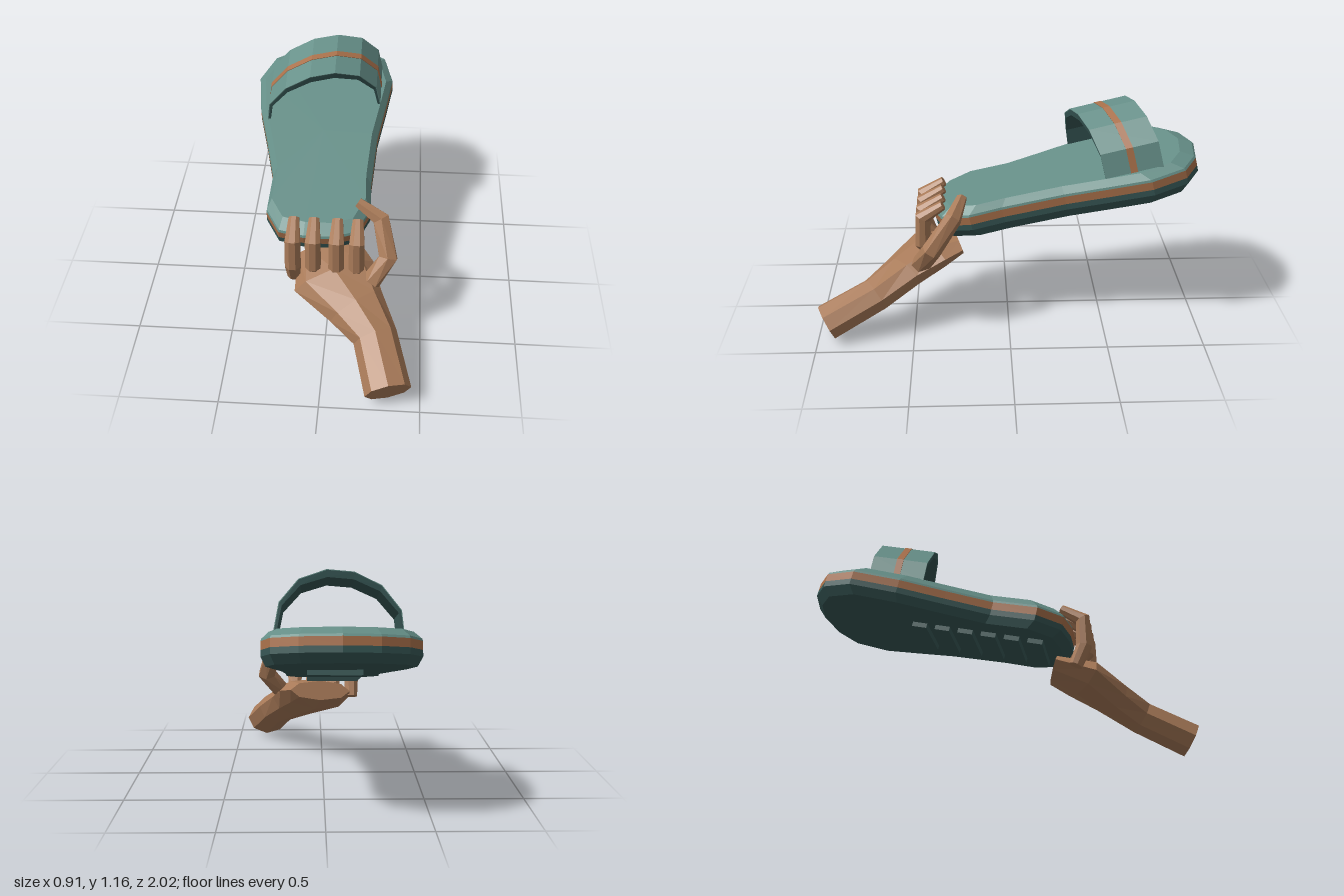
import * as THREE from 'three';

const mat = (name, color) => {
  const m = new THREE.MeshStandardMaterial({ color, flatShading: true });
  m.name = name;
  return m;
};

// Joins equal-length rings of points into a skin, with optional end caps
function skin(rings, capStart = true, capEnd = true) {
  const n = rings[0].length, last = rings.length - 1, pos = [], idx = [];
  rings.forEach(r => r.forEach(p => pos.push(p.x, p.y, p.z)));
  for (let i = 0; i < last; i++) for (let j = 0; j < n; j++) {
    const k = (j + 1) % n, a = i * n + j, b = i * n + k;
    idx.push(a, b, a + n, b, b + n, a + n);
  }
  const cap = (i, flip) => {
    const c = new THREE.Vector3();
    rings[i].forEach(p => c.addScaledVector(p, 1 / n));
    const ci = pos.length / 3;
    pos.push(c.x, c.y, c.z);
    for (let j = 0; j < n; j++) {
      const a = i * n + j, b = i * n + (j + 1) % n;
      if (flip) idx.push(ci, b, a); else idx.push(ci, a, b);
    }
  };
  if (capStart) cap(0, true);
  if (capEnd) cap(last, false);
  const g = new THREE.BufferGeometry();
  g.setAttribute('position', new THREE.Float32BufferAttribute(pos, 3));
  g.setIndex(idx);
  g.computeVertexNormals();
  return g;
}

// Faceted limb through sections [x, y, z, halfWidth, halfThickness]
function limb(sections, sides, phase, ref = new THREE.Vector3(1, 0, 0)) {
  const pts = sections.map(s => new THREE.Vector3(s[0], s[1], s[2]));
  return skin(sections.map((s, i) => {
    const next = pts[Math.min(i + 1, pts.length - 1)], prev = pts[Math.max(i - 1, 0)];
    const t = next.clone().sub(prev).normalize();
    const side = ref.clone().addScaledVector(t, -ref.dot(t)).normalize();
    const up = t.clone().cross(side);
    return Array.from({ length: sides }, (_, j) => {
      const a = phase + j / sides * Math.PI * 2;
      return pts[i].clone().addScaledVector(side, Math.cos(a) * s[3]).addScaledVector(up, Math.sin(a) * s[4]);
    });
  }));
}

export function createModel() {
  const model = new THREE.Group();
  model.name = 'handHoldingSandal';
  const teal = mat('teal', 0x668f88), dark = mat('darkTeal', 0x365654);
  const orange = mat('orangeTrim', 0xa9704a), skinTone = mat('skin', 0xa87a58);
  const add = (parent, name, geo, material) => {
    const m = new THREE.Mesh(geo, material);
    m.name = name;
    parent.add(m);
    return m;
  };

  // Sandal, tilted with the heel raised
  const sandal = new THREE.Group();
  sandal.name = 'sandal';
  sandal.position.y = 0.552;
  sandal.rotation.x = 0.232;
  model.add(sandal);

  // Sole outline (x, z), heel first, stacked in layers
  const outline = [
    [-0.075, -1.0], [-0.25, -0.96], [-0.385, -0.875], [-0.46, -0.71], [-0.43, -0.47],
    [-0.37, -0.235], [-0.315, 0], [-0.325, 0.23], [-0.25, 0.355], [-0.12, 0.385],
    [0.03, 0.385], [0.15, 0.345], [0.215, 0.2], [0.21, 0.03], [0.23, -0.29],
    [0.27, -0.53], [0.30, -0.725], [0.25, -0.9], [0.12, -0.975],
  ];
  const ring = (y, s) => outline.map(([x, z]) => new THREE.Vector3(
    -0.07 + (x + 0.07) * s, y, -0.3 + ((z - 0.023) / 0.973 + 0.3) * s));
  add(sandal, 'outsole', skin([ring(0, 0.94), ring(0.045, 1), ring(0.076, 1)], true, false), dark);
  add(sandal, 'soleStripe', skin([ring(0.076, 1), ring(0.118, 1)], false, false), orange);
  add(sandal, 'footbed', skin([ring(0.118, 1), ring(0.13, 0.99), ring(0.166, 0.9)], false, true), teal);

  // Tread bars under the sole
  for (let i = 0; i < 6; i++) {
    const bar = add(sandal, 'treadBar', new THREE.BoxGeometry(0.28, 0.035, 0.08), dark);
    bar.position.set(-0.055, -0.008, 0.21 - i * 0.126);
  }

  // Strap arch (x, y, back edge z), skewed across the foot
  const arch = [
    [-0.375, 0.155, -0.70], [-0.362, 0.267, -0.71], [-0.27, 0.382, -0.722], [-0.14, 0.442, -0.752],
    [-0.01, 0.449, -0.784], [0.12, 0.40, -0.819], [0.21, 0.29, -0.845], [0.235, 0.155, -0.845],
  ];
  const strapBand = (z0, z1, outer, inner) => skin(arch.map(([x, y, z]) => {
    const r = new THREE.Vector2(x + 0.07, y - 0.15).normalize();
    const at = (o, dz) => new THREE.Vector3(x + r.x * o * (o < 0 ? 0.35 : 1), y + r.y * o, z + dz);
    return [at(outer, z0), at(outer, z1), at(inner, z1), at(inner, z0)];
  }));
  add(sandal, 'strapLining', strapBand(0, 0.3, 0, -0.034), dark);
  add(sandal, 'strap', strapBand(0, 0.3, 0.004, 0), teal);
  add(sandal, 'strapStripe', strapBand(0.132, 0.168, 0.007, 0.003), orange);

  // Hand gripping the toe end from below
  const hand = new THREE.Group();
  hand.name = 'hand';
  model.add(hand);
  add(hand, 'forearmAndPalm', limb([
    [0.34, 0.095, 0.955, 0.118, 0.095],
    [0.265, 0.215, 0.70, 0.115, 0.09],
    [0.16, 0.29, 0.56, 0.155, 0.09],
    [0.04, 0.36, 0.42, 0.22, 0.088],
    [0.01, 0.41, 0.27, 0.17, 0.055],
  ], 8, 0), skinTone);

  // Fingers curl up in front of the toe and over its edge
  [-0.17, -0.067, 0.052, 0.155].forEach((x, i) => {
    const low = i === 0 ? 0.35 : 0.41;
    add(hand, 'finger', limb([
      [x, low, 0.405, 0.036, 0.035],
      [x, 0.455, 0.45, 0.043, 0.042],
      [x, 0.605, 0.448, 0.042, 0.042],
      [x, 0.672, 0.34, 0.029, 0.025],
    ], 8, Math.PI / 8), skinTone);
  });

  // Thumb wraps around the side
  add(hand, 'thumb', limb([
    [0.23, 0.37, 0.46, 0.055, 0.05],
    [0.315, 0.485, 0.40, 0.055, 0.05],
    [0.27, 0.645, 0.285, 0.05, 0.045],
    [0.15, 0.71, 0.24, 0.028, 0.028],
  ], 6, 0, new THREE.Vector3(0.7, 0.7, 0.1)), skinTone);

  return model;
}
